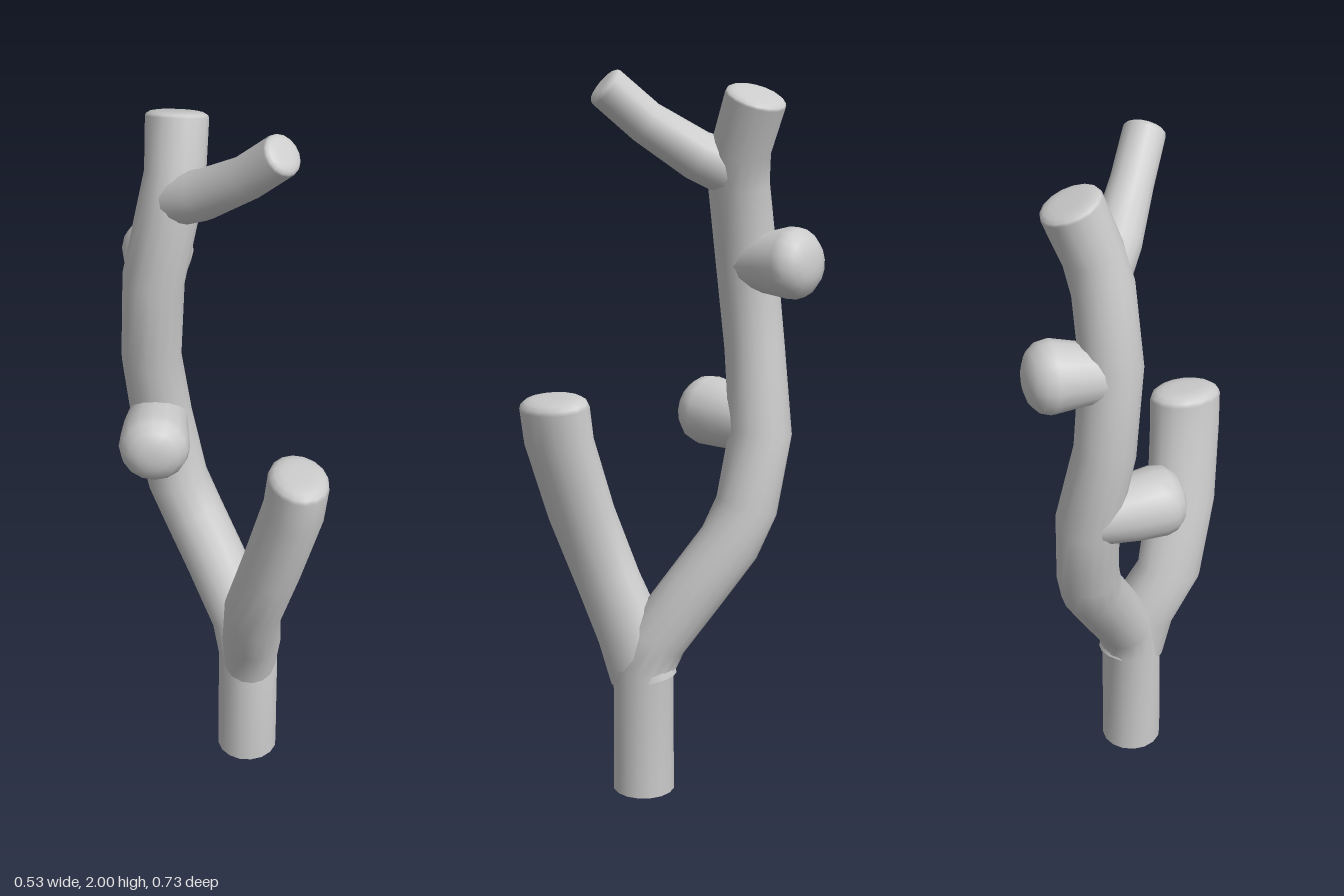
import * as THREE from 'three';

const SIDES = 16;
const material = new THREE.MeshStandardMaterial({ color: 0xcccccc });

// Lofts rings along [x, y, z, radius] stations and closes the far end with a dome.
function limb(name, stations, { dome = 0.25, zScale = 1, round = 0.45 } = {}) {
  const centres = stations.map(([x, y, z]) => new THREE.Vector3(x, y, z));
  const last = centres.length - 1;
  const positions = [], index = [];
  const u = new THREE.Vector3(1, 0, 0);
  const v = new THREE.Vector3(), t = new THREE.Vector3();

  const ring = (c, r) => {
    for (let j = 0; j < SIDES; j++) {
      const a = (j / SIDES) * Math.PI * 2;
      const p = u.clone().multiplyScalar(Math.cos(a) * r).addScaledVector(v, Math.sin(a) * r);
      positions.push(c.x + p.x, c.y + p.y, c.z + p.z * zScale);
    }
  };

  centres.forEach((c, i) => {
    // Average the neighbouring directions so that each joint is mitred
    t.set(0, 0, 0);
    if (i > 0) t.add(c.clone().sub(centres[i - 1]).normalize());
    if (i < last) t.add(centres[i + 1].clone().sub(c).normalize());
    t.normalize();
    u.addScaledVector(t, -u.dot(t)).normalize();
    v.crossVectors(t, u);
    ring(c, stations[i][3]);
  });

  // Rounded end
  const r = stations[last][3];
  for (const deg of [25, 50, 70, 83]) {
    const a = THREE.MathUtils.degToRad(deg);
    const c = centres[last].clone().addScaledVector(t, r * dome * Math.sin(a));
    ring(c, r * Math.cos(a) ** round);
  }
  const tip = centres[last].clone().addScaledVector(t, r * dome);
  const rings = positions.length / 3 / SIDES;
  positions.push(tip.x, tip.y, tip.z);

  for (let i = 0; i < rings; i++) {
    for (let j = 0; j < SIDES; j++) {
      const a = i * SIDES + j, b = i * SIDES + (j + 1) % SIDES;
      if (i === rings - 1) index.push(a, b, rings * SIDES);
      else index.push(a, b, b + SIDES, a, b + SIDES, a + SIDES);
    }
  }
  const geometry = new THREE.BufferGeometry();
  geometry.setAttribute('position', new THREE.Float32BufferAttribute(positions, 3));
  geometry.setIndex(index);
  geometry.computeVertexNormals();
  const mesh = new THREE.Mesh(geometry, material);
  mesh.name = name;
  return mesh;
}

export function createModel() {
  const group = new THREE.Group();
  group.name = 'branch';

  // Main stem, from the foot to the top
  group.add(limb('mainStem', [
    [0.085, 0, 0.04, 0.086],
    [0.085, 0.36, 0.04, 0.086],
    [0.07, 0.45, 0.005, 0.086],
    [0.005, 0.6, -0.085, 0.086],
    [-0.05, 0.72, -0.155, 0.086],
    [-0.09, 0.82, -0.185, 0.086],
    [-0.13, 1.02, -0.203, 0.086],
    [-0.16, 1.25, -0.165, 0.082],
    [-0.152, 1.5, -0.14, 0.083],
    [-0.11, 1.7, -0.14, 0.082],
    [-0.09, 1.79, -0.157, 0.08],
    [-0.078, 1.925, -0.207, 0.082],
  ], { dome: 0.2, round: 0.4 }));

  // Flat cut at the foot
  const foot = new THREE.Mesh(new THREE.CircleGeometry(0.086, SIDES), material);
  foot.name = 'foot';
  foot.rotation.x = Math.PI / 2;
  foot.position.set(0.085, 0, 0.04);
  group.add(foot);

  // Lower fork, leaning forward
  group.add(limb('lowerFork', [
    [0.085, 0.33, 0.04, 0.08],
    [0.09, 0.45, 0.075, 0.083],
    [0.078, 0.59, 0.16, 0.079],
    [0.12, 0.79, 0.22, 0.08],
    [0.17, 1.0, 0.256, 0.081],
    [0.18, 1.095, 0.262, 0.081],
  ], { zScale: 1.27, dome: 0.35 }));

  // Upper twig
  group.add(limb('upperTwig', [
    [-0.1, 1.73, -0.14, 0.075],
    [-0.03, 1.775, -0.06, 0.066],
    [0.07, 1.865, 0.035, 0.057],
    [0.142, 1.955, 0.108, 0.056],
  ], { dome: 0.3 }));

  // Stub on the front of the stem
  group.add(limb('frontStub', [
    [-0.14, 1.04, -0.19, 0.08],
    [-0.16, 1.045, -0.09, 0.091],
    [-0.17, 1.05, -0.015, 0.097],
  ], { dome: 0.72, round: 0.75 }));

  // Stub on the back of the stem
  group.add(limb('backStub', [
    [-0.15, 1.48, -0.14, 0.075],
    [-0.138, 1.488, -0.22, 0.083],
    [-0.125, 1.497, -0.3, 0.097],
  ], { dome: 0.68, round: 0.75 }));

  return group;
}
